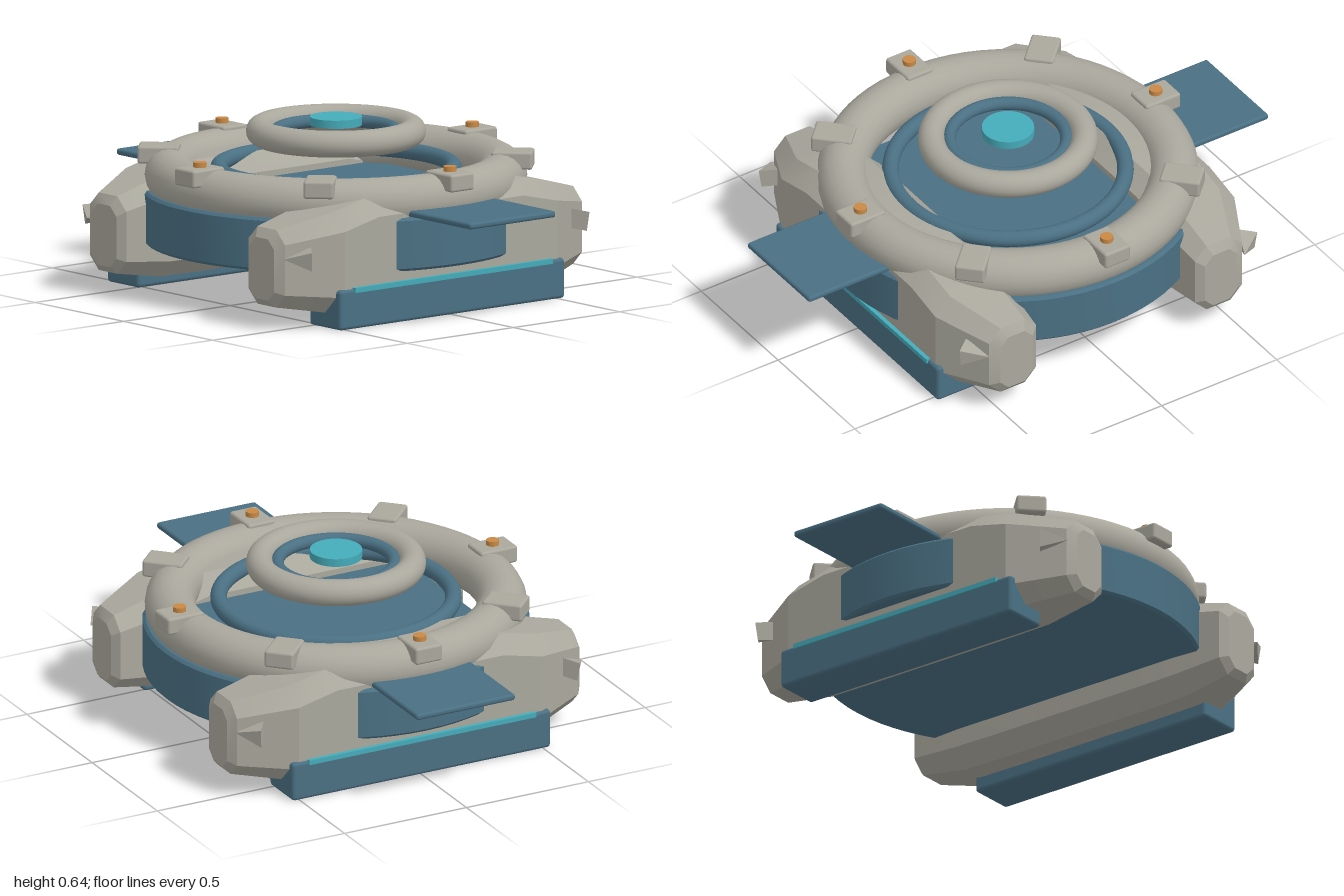
import * as THREE from 'three';
import { toCreasedNormals } from 'three/addons/utils/BufferGeometryUtils.js';
import { RoundedBoxGeometry } from 'three/addons/geometries/RoundedBoxGeometry.js';
import { ConvexGeometry } from 'three/addons/geometries/ConvexGeometry.js';

const flat = (name, color) => Object.assign(new THREE.MeshStandardMaterial({ color }), { name });

export function createModel() {
  const grey = flat('warm grey', 0xaaa89d);
  const blue = flat('slate blue', 0x4a7083);
  const teal = flat('teal glow', 0x45abba);
  const orange = flat('amber', 0xc98945);
  const model = new THREE.Group();
  model.name = 'model';

  const add = (parent, name, geometry, material, x = 0, y = 0, z = 0) => {
    const mesh = new THREE.Mesh(geometry, material);
    mesh.name = name;
    mesh.position.set(x, y, z);
    parent.add(mesh);
    return mesh;
  };
  const ring = (name, radius, tube, y, material) =>
    add(model, name, new THREE.TorusGeometry(radius, tube, 20, 72).rotateX(Math.PI / 2), material, 0, y, 0);

  // Drum: outer wall with softened rims and a base, with a deck inside
  const wall = [[0, 0.185], [0.69, 0.185], [0.7, 0.195], [0.7, 0.37], [0.69, 0.38], [0.6, 0.38]];
  const wallGeometry = new THREE.LatheGeometry(wall.map(p => new THREE.Vector2(...p)), 72);
  add(model, 'drum', toCreasedNormals(wallGeometry, 0.6), blue);
  add(model, 'deck', new THREE.BoxGeometry(0.92, 0.18, 0.92), blue, 0, 0.285, 0);

  // Concentric rings and the floating core
  ring('mainRing', 0.6, 0.092, 0.425, grey);
  ring('deckRing', 0.425, 0.03, 0.45, blue);
  ring('floatingRing', 0.277, 0.049, 0.585, grey);
  ring('innerRing', 0.213, 0.024, 0.585, blue);
  add(model, 'core', new THREE.CylinderGeometry(0.095, 0.095, 0.03, 40), teal, 0, 0.623, 0);

  // Clamps around the main ring, with studs on every second one
  for (let i = 0; i < 8; i++) {
    const clamp = new THREE.Group();
    clamp.name = 'clamp';
    clamp.rotation.y = i * Math.PI / 4;
    add(clamp, 'clampBlock', new RoundedBoxGeometry(0.11, 0.065, 0.15, 2, 0.01), grey, 0, 0.493, 0.642);
    if (i % 2 === 0)
      add(clamp, 'stud', new THREE.CylinderGeometry(0.024, 0.024, 0.018, 20), orange, 0, 0.535, 0.642);
    model.add(clamp);
  }

  // Pod: chamfered sections [x, z inner, z outer, y bottom, y top, chamfer], mirrored in x
  const sections = [
    [0.722, 0.375, 0.515, 0.11, 0.335, 0.035],
    [0.7, 0.345, 0.55, 0.085, 0.37, 0.05],
    [0.5, 0.33, 0.65, 0.052, 0.425, 0.065],
    [0.34, 0.33, 0.65, 0.05, 0.462, 0.065],
  ];
  const points = [];
  for (const [x, z0, z1, y0, y1, c] of sections)
    for (const s of [-1, 1])
      for (const [y, z] of [[y0, z0 + c], [y0, z1 - c], [y0 + c, z1], [y1 - c, z1],
        [y1, z1 - c], [y1, z0 + c], [y1 - c, z0], [y0 + c, z0]])
        points.push(new THREE.Vector3(s * x, y, z));
  const podGeometry = toCreasedNormals(new ConvexGeometry(points), 0.4);

  // Four-sided spike lying on the tapered end of each pod
  const spikeGeometry = new THREE.ConeGeometry(0.05, 0.1, 4).toNonIndexed();
  spikeGeometry.computeVertexNormals();

  // Front half, repeated at the back by a half turn
  for (const turn of [0, Math.PI]) {
    const half = new THREE.Group();
    half.name = turn ? 'backHalf' : 'frontHalf';
    half.rotation.y = turn;
    add(half, 'pod', podGeometry, grey);
    for (const s of [-1, 1]) {
      const spike = add(half, 'spike', spikeGeometry, grey, s * 0.67, 0.27, 0.585);
      spike.quaternion.setFromUnitVectors(new THREE.Vector3(0, 1, 0),
        new THREE.Vector3(s * 0.8, 0, -0.6).normalize());
    }
    add(half, 'skid', new RoundedBoxGeometry(1.06, 0.148, 0.18, 2, 0.014), blue, 0, 0.074, 0.57);
    add(half, 'lightStrip', new THREE.BoxGeometry(0.93, 0.018, 0.02), teal, 0, 0.143, 0.656);
    add(half, 'fin', new RoundedBoxGeometry(0.405, 0.024, 0.42, 2, 0.01), blue, 0, 0.393, 0.79);
    model.add(half);
  }
  return model;
}
